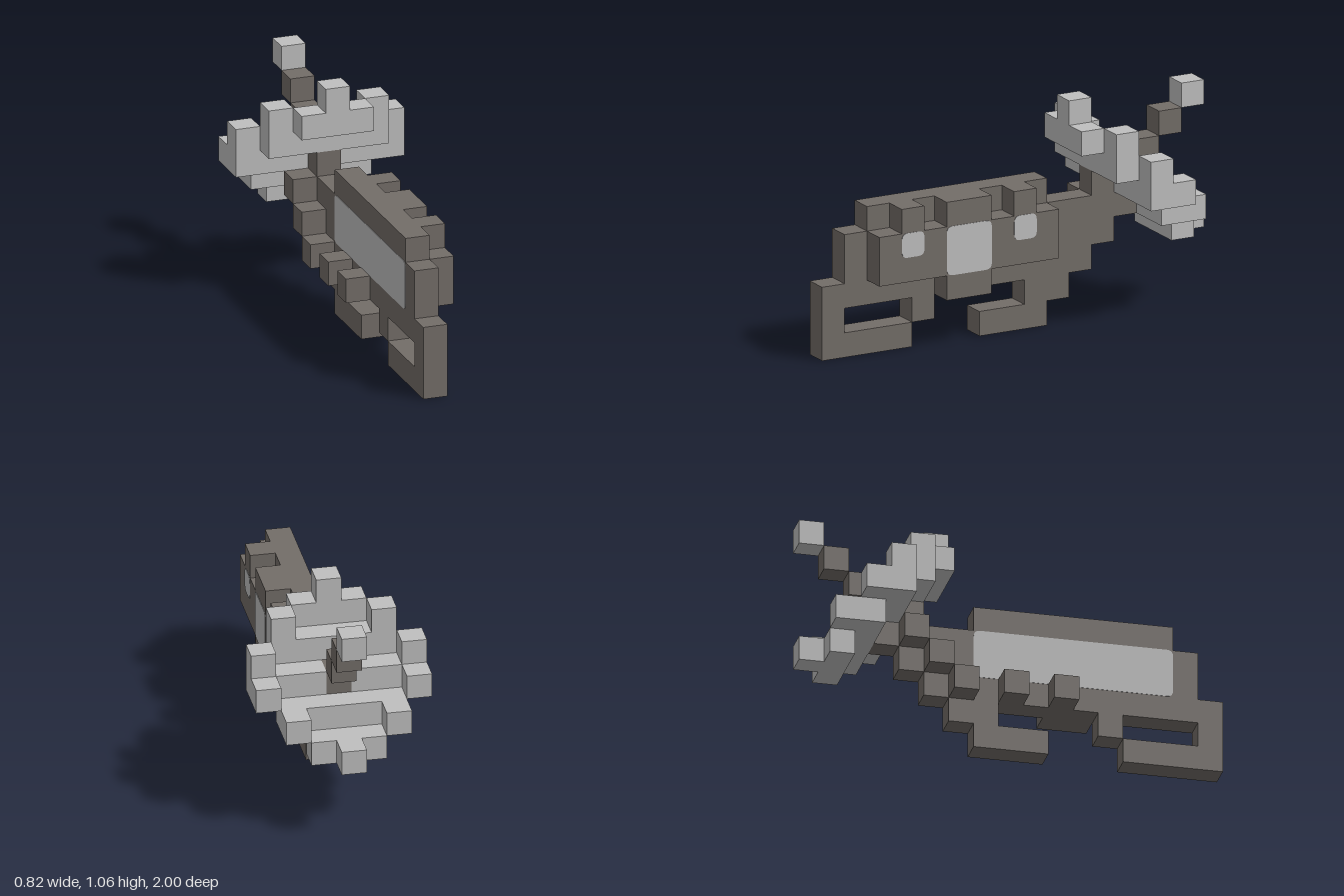
import * as THREE from 'three';

const U = 2 / 17; // size of one cell

export function createModel() {
  const dark = new THREE.MeshStandardMaterial({ color: 0x736d68 });
  dark.name = 'dark grey metal';
  const light = new THREE.MeshStandardMaterial({ color: 0xbfbfbf });
  light.name = 'light grey metal';

  const model = new THREE.Group();
  model.name = 'blockySword';
  const group = (name) => {
    const g = new THREE.Group();
    g.name = name;
    model.add(g);
    return g;
  };

  // Box over cell ranges: x columns x0..x1 (0 = middle), rows r0..r1 upward,
  // and cells k0..k1 counted from the front tip to the back.
  const cells = (parent, name, mat, [x0, x1], [r0, r1], [k0, k1]) => {
    const mesh = new THREE.Mesh(
      new THREE.BoxGeometry((x1 - x0 + 1) * U, (r1 - r0 + 1) * U, (k1 - k0 + 1) * U), mat);
    mesh.position.set((x0 + x1) / 2 * U, (r0 + r1 + 1) / 2 * U, 1 - (k0 + k1 + 1) / 2 * U);
    mesh.name = name;
    parent.add(mesh);
  };

  // Blade: one cell thick, given as [row, first cell, last cell]
  const blade = group('blade');
  [
    [0, 0, 3], [0, 7, 9],
    [1, 0, 0], [1, 4, 4], [1, 9, 10],
    [2, 0, 11], [3, 1, 12], [4, 1, 13],
    [5, 2, 9], [5, 12, 13],
  ].forEach(([r, a, b]) => cells(blade, 'bladeRow', dark, [0, 0], [r, r], [a, b]));

  // Raised housing on the left side, with teeth above and a block below
  const housing = group('sideHousing');
  cells(housing, 'housingBody', dark, [1, 1], [3, 4], [2, 9]);
  [[3, 3], [5, 6], [8, 8]].forEach((k) => cells(housing, 'housingTooth', dark, [1, 1], [5, 5], k));
  cells(housing, 'lowerBlock', dark, [1, 1], [2, 2], [5, 6]);

  // Studs on the right side
  const studs = group('sideStuds');
  [[2, 6], [2, 8], [2, 10], [3, 11], [4, 12]].forEach(([r, k]) =>
    cells(studs, 'stud', dark, [-1, -1], [r, r], [k, k]));

  // Slanted round guard: full rows, then the mirrored rim cells
  const guard = group('guard');
  [[0, 8, 11], [1, 7, 11], [2, 6, 12], [2, 4, 14], [1, 3, 15], [0, 3, 16]].forEach(([w, r, k]) => {
    if (r === 4) { // the blade passes just in front of this row
      cells(guard, 'guardRow', light, [-w, w], [r, r], [k, k]);
    } else {
      cells(guard, 'guardRow', light, [-w, w], [r, r], [k, k]);
    }
  });
  for (const s of [-1, 1]) {
    const span = (a, b) => (s > 0 ? [a, b] : [-b, -a]);
    cells(guard, 'guardMiddle', light, span(1, 3), [5, 5], [13, 13]);
    [[2, 7, 12], [3, 6, 13], [3, 5, 14], [2, 4, 15]].forEach(([x, r, k]) => {
      if (r !== 4) cells(guard, 'guardRim', light, span(x, x), [r, r], [k, k]);
      else cells(guard, 'guardRim', light, span(x, x), [r, r], [k, k]);
    });
  }

  // Handle and pommel
  const handle = group('handle');
  [[6, 14], [7, 15]].forEach(([r, k]) => cells(handle, 'grip', dark, [0, 0], [r, r], [k, k]));
  cells(handle, 'pommel', light, [0, 0], [8, 8], [16, 16]);

  // Thin rounded plates lying on the sides
  const plate = (name, x, [r0, r1], [k0, k1], radius) => {
    const w = (k1 - k0 + 1) * U / 2, h = (r1 - r0 + 1) * U / 2, c = radius;
    const s = new THREE.Shape();
    s.moveTo(-w + c, -h);
    s.lineTo(w - c, -h).quadraticCurveTo(w, -h, w, -h + c);
    s.lineTo(w, h - c).quadraticCurveTo(w, h, w - c, h);
    s.lineTo(-w + c, h).quadraticCurveTo(-w, h, -w, h - c);
    s.lineTo(-w, -h + c).quadraticCurveTo(-w, -h, -w + c, -h);
    const geo = new THREE.ExtrudeGeometry(s, { depth: 0.004, bevelEnabled: false, curveSegments: 4 });
    geo.translate(0, 0, -0.002);
    const mesh = new THREE.Mesh(geo, light);
    mesh.rotation.y = Math.PI / 2;
    mesh.position.set(x, (r0 + r1 + 1) / 2 * U, 1 - (k0 + k1 + 1) / 2 * U);
    mesh.name = name;
    model.add(mesh);
  };
  plate('frontWindow', 1.5 * U, [4, 4], [3, 3], 0.03);
  plate('middleWindow', 1.5 * U, [3, 4], [5, 6], 0.03);
  plate('rearWindow', 1.5 * U, [4, 4], [8, 8], 0.03);
  plate('longPanel', -0.5 * U, [3, 4], [2, 9], 0.03);

  return model;
}
